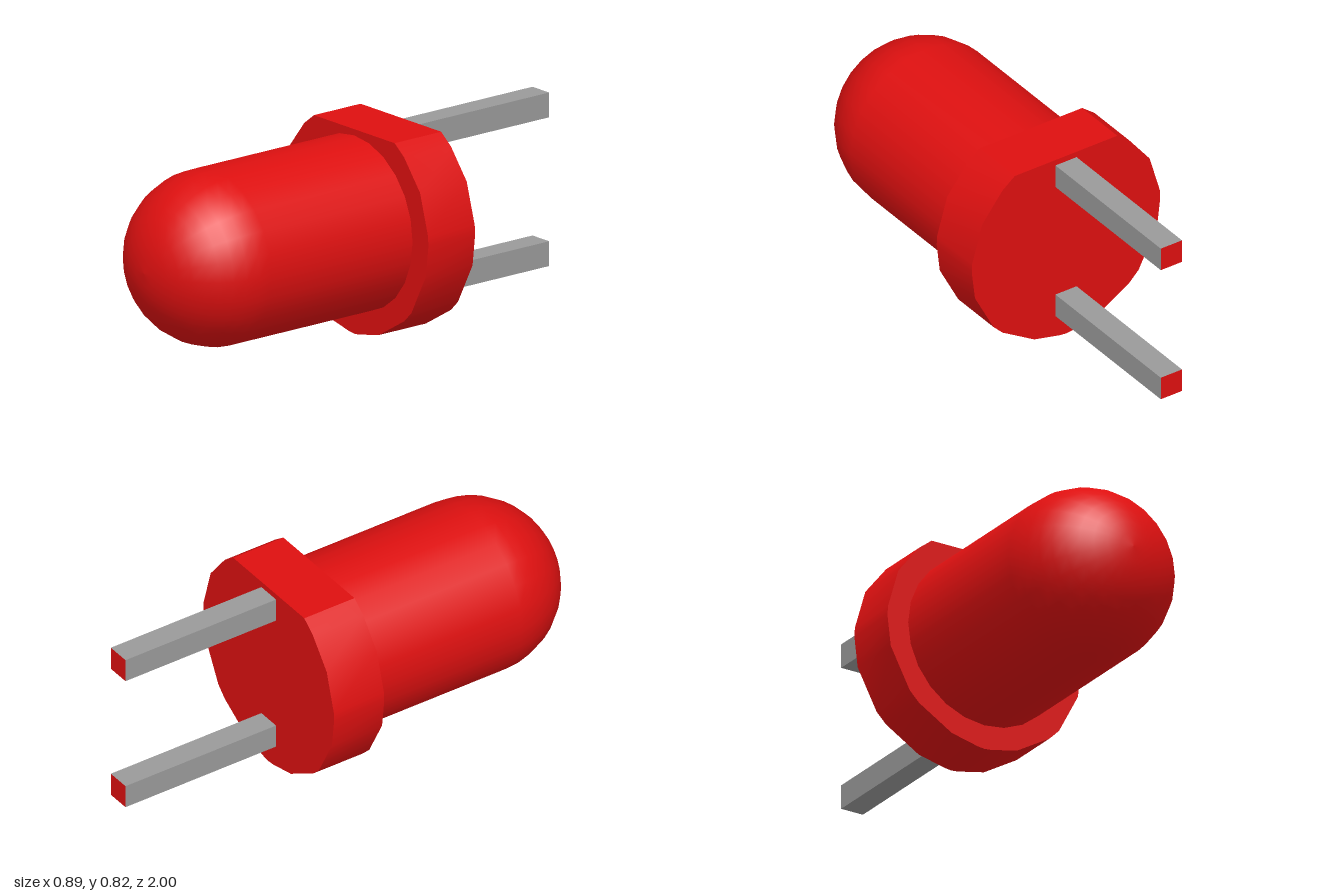
import * as THREE from 'three';
import { toCreasedNormals } from 'three/addons/utils/BufferGeometryUtils.js';

const AXIS_Y = 0.45;

export function createModel() {
  const model = new THREE.Group();
  model.name = 'lightEmittingDiode';
  const red = new THREE.MeshStandardMaterial({ color: 0xdd1010 });
  const grey = new THREE.MeshStandardMaterial({ color: 0x999999 });

  const add = (name, geometry, material, x, y, z) => {
    const mesh = new THREE.Mesh(geometry, material);
    mesh.name = name;
    mesh.position.set(x, y, z);
    model.add(mesh);
  };

  // Lens: straight barrel running into a hemispherical dome
  const radius = 0.35, domeZ = 0.65, rings = 10;
  const profile = [new THREE.Vector2(radius, -0.08)];
  for (let i = 0; i <= rings; i++) {
    const a = (i / rings) * Math.PI / 2;
    profile.push(new THREE.Vector2(i === rings ? 0 : radius * Math.cos(a), domeZ + radius * Math.sin(a)));
  }
  const lens = new THREE.LatheGeometry(profile, 24);
  lens.rotateX(Math.PI / 2);
  add('lens', lens, red, 0, AXIS_Y, 0);

  // Rim: faceted disc with a flat on top, mirrored from its right half
  const half = [
    [0.03, 0.003], [0.15, 0.03], [0.30, 0.12], [0.343, 0.163], [0.43, 0.33],
    [0.445, 0.455], [0.443, 0.495], [0.395, 0.66], [0.30, 0.78], [0.242, 0.825],
  ];
  const outline = [[0, 0], ...half, ...half.map(([x, y]) => [-x, y]).reverse()];
  const shape = new THREE.Shape(outline.map(([x, y]) => new THREE.Vector2(x, y)));
  const rim = new THREE.ExtrudeGeometry(shape, { depth: 0.235, bevelEnabled: false });
  add('rim', toCreasedNormals(rim, 0.6), red, 0, 0, -0.295);

  // Leads: square grey pins with red end faces
  const pinMaterials = [grey, grey, grey, grey, red, red];
  for (const [name, y] of [['upperLead', 0.75], ['lowerLead', 0.15]]) {
    add(name, new THREE.BoxGeometry(0.1, 0.1, 0.72), pinMaterials, 0, y, -0.64);
  }

  return model;
}
